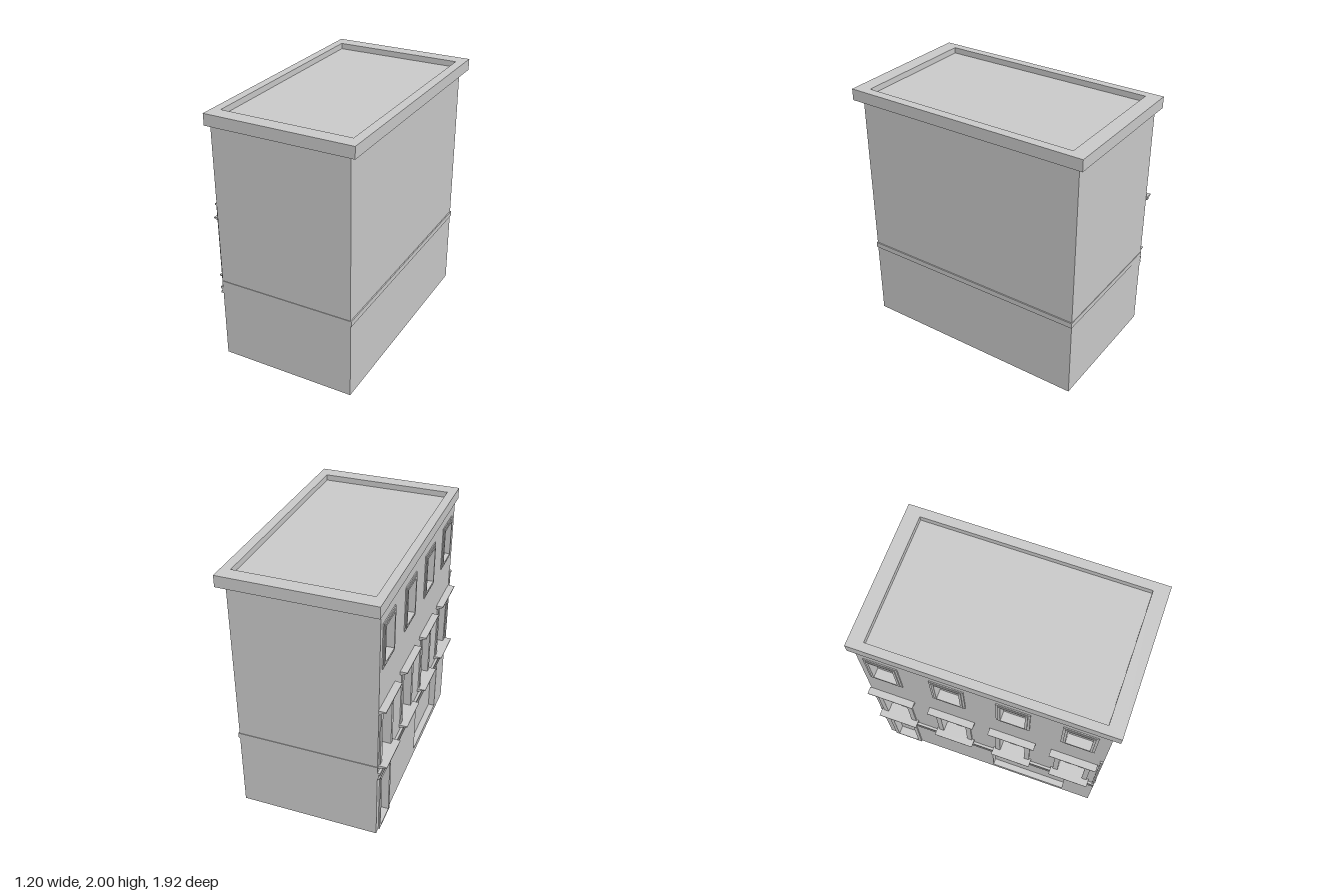
import * as THREE from 'three';

const X0 = -0.535, X1 = 0.54, Z = 0.91, TOP = 1.92;
const BAYS = [-0.74, -0.26, 0.22, 0.7];

export function createModel() {
  const model = new THREE.Group();
  const solid = new THREE.MeshStandardMaterial({ color: 0xcccccc });
  const thin = new THREE.MeshStandardMaterial({ color: 0xcccccc, side: THREE.DoubleSide });

  const add = (name, geometry, material = solid, parent = model) => {
    const mesh = new THREE.Mesh(geometry, material);
    mesh.name = name;
    parent.add(mesh);
    return mesh;
  };
  // box given by its minimum and maximum corners
  const box = (name, a, b, parent) =>
    add(name, new THREE.BoxGeometry(b[0] - a[0], b[1] - a[1], b[2] - a[2]), solid, parent)
      .position.set((a[0] + b[0]) / 2, (a[1] + b[1]) / 2, (a[2] + b[2]) / 2);
  const rect = (u0, v0, u1, v1, Type = THREE.Shape) => new Type([
    new THREE.Vector2(u0, v0), new THREE.Vector2(u1, v0),
    new THREE.Vector2(u1, v1), new THREE.Vector2(u0, v1)]);

  // facade openings: centre z, half width, bottom, top, recess depth
  const openings = [
    { name: 'door', z: -0.74, w: 0.09, y0: 0.015, y1: 0.49, d: 0.06 },
    { name: 'shopWindow', z: 0.36, w: 0.31, y0: 0.05, y1: 0.5, d: 0.05 },
  ];
  for (const z of BAYS) {
    openings.push({ name: 'tallWindow', z, w: 0.1, y0: 0.66, y1: 1.12, d: 0.07 });
    openings.push({ name: 'upperWindow', z, w: 0.09, y0: 1.505, y1: 1.785, d: 0.06 });
  }

  // street facade, pierced by the openings
  const wall = rect(-Z, 0, Z, TOP);
  for (const o of openings) wall.holes.push(rect(o.z - o.w, o.y0, o.z + o.w, o.y1, THREE.Path));
  const facade = add('facade', new THREE.ShapeGeometry(wall), thin);
  facade.rotation.y = -Math.PI / 2;
  facade.position.x = X0;

  // plain walls of the hollow shell
  const sideWall = (name, width, x, z, turn) => {
    const m = add(name, new THREE.PlaneGeometry(width, TOP), thin);
    m.position.set(x, TOP / 2, z);
    m.rotation.y = turn;
  };
  sideWall('frontWall', X1 - X0, (X0 + X1) / 2, Z, 0);
  sideWall('backWall', X1 - X0, (X0 + X1) / 2, -Z, Math.PI);
  sideWall('leftWall', 2 * Z, X1, 0, Math.PI / 2);

  // open recess behind each opening: a box without its street side
  const recess = (o, parent) => {
    const g = new THREE.BoxGeometry(o.d, o.y1 - o.y0, 2 * o.w);
    const idx = Array.from(g.index.array);
    idx.splice(6, 6);
    g.setIndex(idx);
    g.clearGroups();
    add('recess', g, thin, parent).position.set(X0 + o.d / 2, (o.y0 + o.y1) / 2, o.z);
  };
  // raised border around an opening
  const frame = (o, edge, depth, parent) => {
    const s = rect(o.z - o.w - edge, Math.max(0, o.y0 - edge), o.z + o.w + edge, o.y1 + edge);
    s.holes.push(rect(o.z - o.w, o.y0, o.z + o.w, o.y1, THREE.Path));
    const m = add('frame', new THREE.ExtrudeGeometry(s, { depth, bevelEnabled: false }), solid, parent);
    m.rotation.y = -Math.PI / 2;
    m.position.x = X0;
  };
  // moulded ledge, wider at the top, running along z
  const ledge = (name, z, half, y0, y1, reach, parent) => {
    const h = y1 - y0;
    const s = new THREE.Shape([[0, 0], [-0.018, 0], [-0.024, h * 0.35], [-reach + 0.008, h * 0.65],
      [-reach, h * 0.7], [-reach, h], [0, h]].map(p => new THREE.Vector2(...p)));
    const g = new THREE.ExtrudeGeometry(s, { depth: 2 * half, bevelEnabled: false });
    add(name, g, solid, parent).position.set(X0, y0, z - half);
  };

  for (const o of openings) {
    const group = new THREE.Group();
    group.name = o.name;
    model.add(group);
    recess(o, group);
    if (o.name === 'door') frame(o, 0.03, 0.01, group);
    if (o.name === 'upperWindow') {
      frame(o, 0.035, 0.008, group);
      frame(o, 0.018, 0.014, group);
    }
    if (o.name === 'tallWindow') {
      for (const s of [-1, 1]) {
        const c = o.z + s * 0.12;
        box('pilaster', [X0 - 0.01, 0.65, c - 0.02], [X0, 1.14, c + 0.02], group);
      }
      box('header', [X0 - 0.01, 1.12, o.z - 0.1], [X0, 1.14, o.z + 0.1], group);
      ledge('lintel', o.z, 0.18, 1.135, 1.165, 0.055, group);
      ledge('sill', o.z, 0.157, 0.635, 0.66, 0.065, group);
    }
  }

  // string mouldings above the shop floor
  box('lowerMoulding', [X0 - 0.02, 0.545, -Z], [X0, 0.558, Z]);
  box('friezeBoard', [X0 - 0.008, 0.558, -Z], [X0, 0.582, Z]);
  box('upperMoulding', [X0 - 0.02, 0.582, -Z], [X0, 0.6, Z]);

  // slim corner strip with a cap
  box('cornerStrip', [X0 - 0.009, 0.6, 0.89], [X0, 1.285, 0.902]);
  box('cornerStripCap', [X0 - 0.016, 1.285, 0.885], [X0, 1.298, 0.907]);

  // shallow band wrapping the three plain sides
  box('leftBand', [X1 - 0.002, 0.612, -Z - 0.004], [X1 + 0.009, 0.655, Z + 0.004]);
  for (const s of [-1, 1]) {
    const z = [s * Z, s * (Z + 0.004)].sort((a, b) => a - b);
    box('endBand', [X0, 0.612, z[0]], [X1, 0.655, z[1]]);
  }

  // overhanging cornice ring and sunken roof deck
  const ring = rect(-0.548, -0.962, 0.595, 0.962);
  ring.holes.push(rect(-0.483, -0.85, 0.525, 0.85, THREE.Path));
  const cornice = add('cornice', new THREE.ExtrudeGeometry(ring, { depth: 0.088, bevelEnabled: false }));
  cornice.rotation.x = -Math.PI / 2;
  cornice.position.y = 1.912;
  box('roofDeck', [-0.49, 1.914, -0.86], [0.53, 1.955, 0.86]);

  return model;
}
